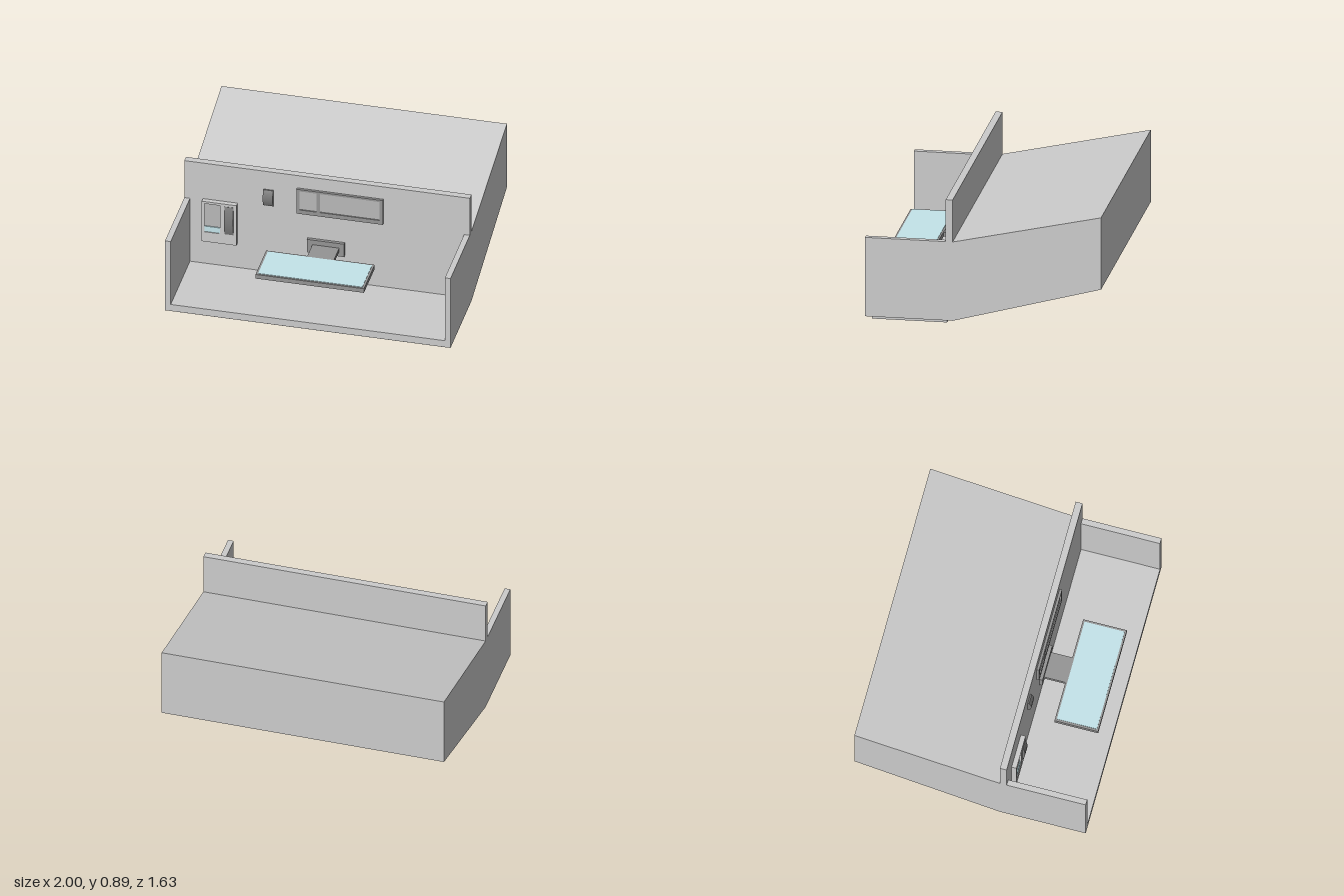
import * as THREE from 'three';

const mat = (color) => new THREE.MeshStandardMaterial({ color });

export function createModel() {
  const model = new THREE.Group();
  const grey = mat(0xcccccc), dark = mat(0x949494), screen = mat(0xb8b8b8);
  const rockerGrey = mat(0x7c7c7c), glass = mat(0xc4e4ea);

  const add = (name, geometry, material = grey) => {
    const mesh = new THREE.Mesh(geometry, material);
    mesh.name = name;
    model.add(mesh);
    return mesh;
  };

  // Box given by its lower and upper corners
  const box = (name, x0, x1, y0, y1, z0, z1, material) =>
    add(name, new THREE.BoxGeometry(x1 - x0, y1 - y0, z1 - z0), material)
      .position.set((x0 + x1) / 2, (y0 + y1) / 2, (z0 + z1) / 2);

  const polygon = (points) => new THREE.Shape(points.map(([x, y]) => new THREE.Vector2(x, y)));

  const rectangle = (x0, x1, y0, y1) => polygon([[x0, y0], [x1, y0], [x1, y1], [x0, y1]]);

  // Outline in x/y pushed from z0 to z1
  const slab = (shape, z0, z1) =>
    new THREE.ExtrudeGeometry(shape, { depth: z1 - z0, bevelEnabled: false }).translate(0, 0, z0);

  // Outline in z/y pushed across from x0 to x1
  const across = (shape, x0, x1) =>
    new THREE.ExtrudeGeometry(shape, { depth: x1 - x0, bevelEnabled: false, curveSegments: 16 })
      .rotateY(-Math.PI / 2).scale(1, 1, 1).translate(x1, 0, 0);

  // Frame with rectangular openings [x0, x1, y0, y1]
  const frame = (name, outer, openings, z0, z1, material) => {
    const shape = rectangle(...outer);
    openings.forEach((o) => shape.holes.push(rectangle(...o)));
    return add(name, slab(shape, z0, z1), material);
  };

  // Convex push button bulging towards the front
  const rocker = (name, x0, x1, y0, y1, z0, z1, bulge) => {
    const shape = new THREE.Shape();
    shape.moveTo(z0, y0);
    shape.lineTo(z1, y0);
    shape.quadraticCurveTo(z1 + 2 * bulge, (y0 + y1) / 2, z1, y1);
    shape.lineTo(z0, y1);
    add(name, across(shape, x0, x1), rockerGrey);
  };

  // Housing: rising rear block, open front trough, base plate
  add('rearHousing', across(polygon([[-0.815, 0.305], [0.21, 0.027], [0.21, 0.59], [-0.815, 0.818]]), -1, 1));
  add('frontTrough', slab(polygon([
    [-1, 0.027], [1, 0.027], [1, 0.59], [0.96, 0.59],
    [0.96, 0.08], [-0.96, 0.08], [-0.96, 0.59], [-1, 0.59],
  ]), 0.21, 0.815));
  add('frontPanel', slab(polygon([
    [-0.96, 0.08], [0.96, 0.08], [0.96, 0.59], [1, 0.59],
    [1, 0.89], [-1, 0.89], [-1, 0.59], [-0.96, 0.59],
  ]), 0.21, 0.258));
  box('basePlate', -0.96, 0.96, 0, 0.027, 0.255, 0.775);

  // Display with two windows
  const windows = [[-0.19, -0.068, 0.625, 0.775], [-0.046, 0.373, 0.625, 0.775]];
  frame('displayFrame', [-0.21, 0.395, 0.593, 0.79], windows, 0.258, 0.276, dark);
  windows.forEach(([x0, x1, y0, y1]) => box('displayWindow', x0, x1, y0, y1, 0.258, 0.268, screen));

  // Small switch beside the display
  rocker('smallSwitch', -0.445, -0.375, 0.62, 0.745, 0.258, 0.268, 0.016);

  // Control unit with slot window, glass strip and tall switch
  frame('controlPlate', [-0.87, -0.627, 0.278, 0.602], [[-0.852, -0.742, 0.357, 0.585]], 0.258, 0.292, grey);
  box('slotWindow', -0.852, -0.742, 0.4, 0.585, 0.258, 0.28, screen);
  box('slotGlass', -0.852, -0.742, 0.357, 0.4, 0.258, 0.287, glass);
  rocker('tallSwitch', -0.71, -0.647, 0.36, 0.582, 0.285, 0.294, 0.016);

  // Shelf on a bracket
  box('bracketPlate', -0.135, 0.125, 0.293, 0.397, 0.258, 0.28, dark);
  box('shelfArm', -0.097, 0.09, 0.332, 0.36, 0.28, 0.435, dark);
  box('shelfFrame', -0.385, 0.375, 0.33, 0.363, 0.43, 0.738, dark);
  box('shelfGlass', -0.37, 0.36, 0.34, 0.366, 0.443, 0.725, glass);

  return model;
}
